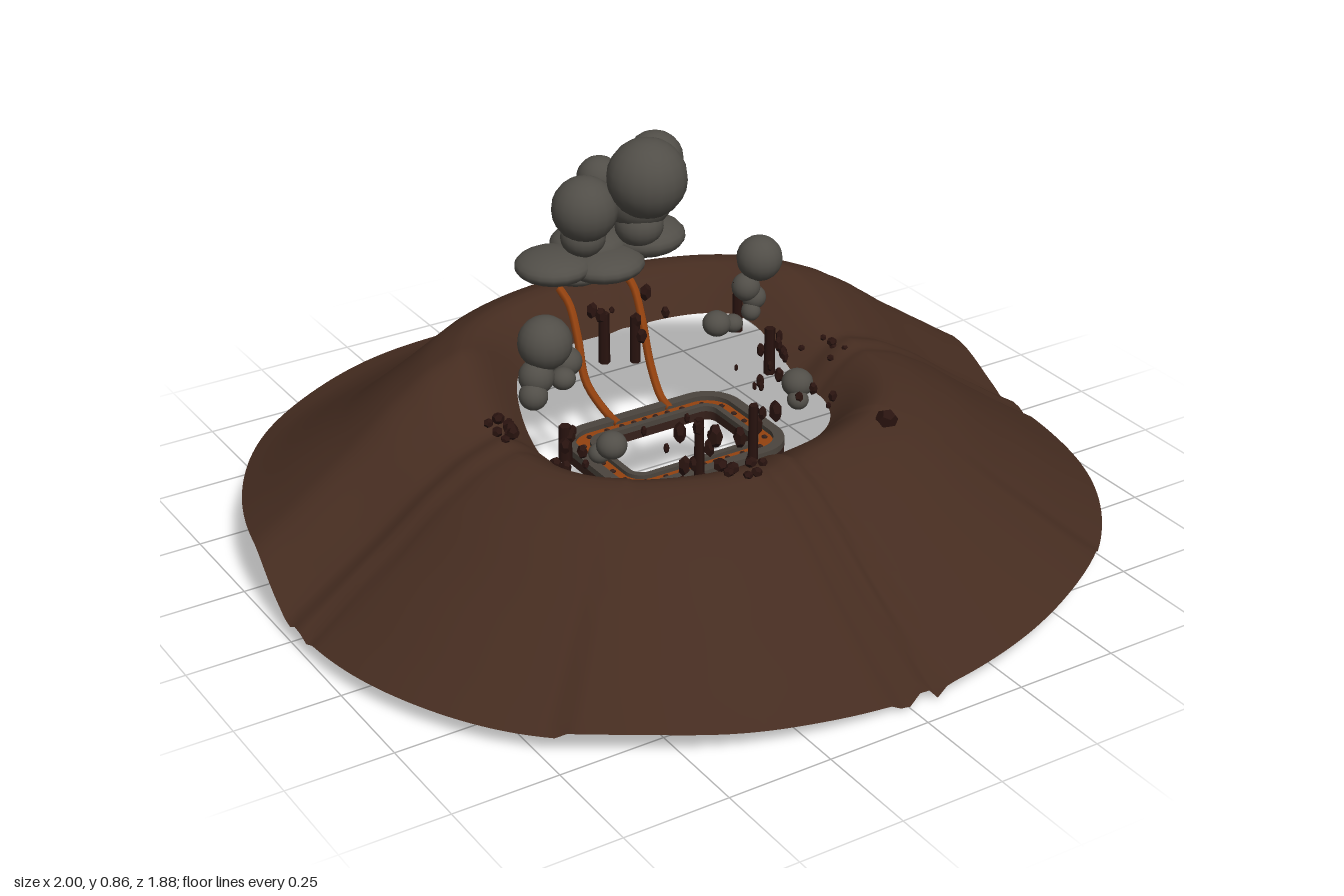
import * as THREE from 'three';

const mat = (name, color, side = THREE.FrontSide) => {
  const m = new THREE.MeshStandardMaterial({ color, side });
  m.name = name;
  return m;
};
const M = {
  earth: mat('brown earth', 0x452c20, THREE.DoubleSide),
  smoke: mat('grey smoke', 0x514e48),
  rim: mat('grey stone', 0x4b443d),
  lava: mat('orange lava', 0x94420f),
  crust: mat('dark crust', 0x35201a),
  rock: mat('dark rock', 0x29130f),
};

function add(parent, name, geo, material, pos = [0, 0, 0], scale = [1, 1, 1]) {
  const m = new THREE.Mesh(geo, material);
  m.name = name;
  m.position.set(...pos);
  m.scale.set(...scale);
  parent.add(m);
  return m;
}

let seed = 7;
const rnd = () => (seed = (seed * 16807) % 2147483647) / 2147483647;
const bump = (u, c, w) => Math.exp(-(((u - c) / w) ** 2));
const mix = THREE.MathUtils.lerp;
const smooth = THREE.MathUtils.smoothstep;

// Height fraction between outer edge (0) and crest (1), as [t, fraction]
const FRONT = [[0.2, 1], [0.33, 0.91], [0.48, 0.73], [0.64, 0.49], [0.8, 0.27], [0.9, 0.13], [1, 0]];
const BACK = [[0.2, 1], [0.3, 0.93], [0.46, 0.62], [0.62, 0.35], [0.8, 0.14], [0.9, 0.05], [1, 0]];
function sample(table, t) {
  for (let i = 1; i < table.length; i++) {
    const [a, fa] = table[i - 1], [b, fb] = table[i];
    if (t <= b) return mix(fa, fb, (t - a) / (b - a));
  }
  return 0;
}

// Point of a superellipse at an angle
function superPoint(a, rx, rz, n) {
  const c = Math.cos(a), s = Math.sin(a);
  const r = 1 / (Math.abs(c / rx) ** n + Math.abs(s / rz) ** n) ** (1 / n);
  return [c * r, s * r];
}

// Ground height; the back half is raised above the front
function groundHeight(x, z, t) {
  const s = smooth(-z, 0, 0.22);
  const front = z > Math.abs(x), back = -z > Math.abs(x);
  const backness = smooth(-z / Math.hypot(x, z), 0.35, 0.9);
  const edge = mix(0.057, 0.15, s) + (front ? 0.016 * bump(Math.abs(x), 0.62, 0.2) - 0.03 * bump(x, 0, 0.24) : 0);
  const crest = mix(0.375, 0.488, s) - (front ? 0.022 * bump(x, 0, 0.24) : 0);
  const inner = mix(0.29, 0.39, s);
  let y;
  if (t < 0.2) y = mix(inner, crest, Math.sin((t / 0.2) * Math.PI / 2));
  else y = mix(edge, crest, mix(sample(FRONT, t), sample(BACK, t), backness));
  // Gullies running outward along the four axes
  const u = front || back ? x : z;
  const strength = (front ? 0.8 : back ? 0.35 : 0.4) * (0.3 + 0.7 * t);
  y += strength * (0.018 * bump(u, 0.035, 0.018) - 0.026 * bump(u, -0.01, 0.022) - 0.028 * bump(u, 0.075, 0.016));
  return Math.max(0, y + 0.004 * Math.sin(9 * x + 2) * Math.sin(8 * z));
}

function terrainGeometry(segs = 240, rings = 26) {
  const pos = [], idx = [];
  for (let j = 0; j <= rings; j++) {
    const t = j / rings;
    for (let i = 0; i < segs; i++) {
      const a = (i / segs) * Math.PI * 2;
      const [ix, iz] = superPoint(a, 0.355, 0.288, 2.8);
      const [ox, oz] = superPoint(a, 1, 0.938, 2.2);
      const x = mix(ix, ox, t), z = mix(iz, oz, t);
      pos.push(x, groundHeight(x, z, t), z);
      if (j === rings) continue;
      const p = j * segs + i, q = j * segs + ((i + 1) % segs);
      idx.push(p, q, p + segs, q, q + segs, p + segs);
    }
  }
  const g = new THREE.BufferGeometry();
  g.setAttribute('position', new THREE.Float32BufferAttribute(pos, 3));
  g.setIndex(idx);
  g.computeVertexNormals();
  return g;
}

function roundedRect(shape, w, h, r) {
  shape.moveTo(-w + r, -h);
  shape.lineTo(w - r, -h).absarc(w - r, -h + r, r, -Math.PI / 2, 0);
  shape.lineTo(w, h - r).absarc(w - r, h - r, r, 0, Math.PI / 2);
  shape.lineTo(-w + r, h).absarc(-w + r, h - r, r, Math.PI / 2, Math.PI);
  shape.lineTo(-w, -h + r).absarc(-w + r, -h + r, r, Math.PI, Math.PI * 1.5);
  return shape;
}

// Flat rounded frame lying in the xz plane
function frame(outer, inner, depth) {
  const s = roundedRect(new THREE.Shape(), ...outer);
  s.holes.push(roundedRect(new THREE.Path(), ...inner));
  return new THREE.ExtrudeGeometry(s, { depth, bevelEnabled: false, curveSegments: 8 }).rotateX(-Math.PI / 2);
}

export function createModel() {
  const root = new THREE.Group();
  root.name = 'crater';
  add(root, 'craterSlope', terrainGeometry(), M.earth);

  // Ring channel hanging in the opening
  const channel = new THREE.Group();
  channel.name = 'lavaChannel';
  channel.position.y = 0.195;
  root.add(channel);
  add(channel, 'channelBase', frame([0.236, 0.173, 0.09], [0.165, 0.102, 0.03], 0.022), M.crust);
  add(channel, 'channelLava', frame([0.212, 0.149, 0.066], [0.178, 0.114, 0.042], 0.004), M.lava, [0, 0.022, 0]);
  add(channel, 'outerCurb', frame([0.236, 0.173, 0.09], [0.21, 0.147, 0.064], 0.016), M.rim, [0, 0.022, 0]);
  add(channel, 'innerCurb', frame([0.18, 0.117, 0.045], [0.165, 0.102, 0.03], 0.014), M.rim, [0, 0.022, 0]);

  // Lava streams spilling over the back wall and hugging it downward
  for (const x of [-0.085, 0.095]) {
    const path = new THREE.CatmullRomCurve3([
      [x, 0.487, -0.38], [x, 0.465, -0.335], [x - 0.005, 0.4, -0.29],
      [x - 0.01, 0.3, -0.245], [x * 0.85, 0.235, -0.19], [x * 0.8, 0.225, -0.14],
    ].map(p => new THREE.Vector3(...p)));
    add(root, 'lavaStream', new THREE.TubeGeometry(path, 20, 0.011, 6), M.lava);
  }

  // Smoke: [x, y, z, radius, vertical squash]
  const ball = new THREE.SphereGeometry(1, 18, 12);
  const clouds = {
    mainPlume: [
      [0.1, 0.77, -0.28, 0.097, 1], [-0.03, 0.695, -0.35, 0.08, 1], [0.19, 0.76, -0.39, 0.07, 1],
      [0.13, 0.68, -0.37, 0.085, 0.9], [0.04, 0.74, -0.4, 0.055, 1], [-0.03, 0.62, -0.36, 0.055, 0.9],
      [0.12, 0.62, -0.35, 0.06, 0.9], [-0.1, 0.555, -0.38, 0.095, 0.4], [0.02, 0.57, -0.42, 0.095, 0.45],
      [0.16, 0.57, -0.39, 0.1, 0.45], [0.02, 0.545, -0.35, 0.1, 0.38], [0.11, 0.56, -0.43, 0.085, 0.5],
      [0.18, 0.56, -0.44, 0.07, 0.5], [-0.04, 0.525, -0.38, 0.07, 0.4],
    ],
    leftBackPuff: [[0.355, 0.54, -0.18, 0.056, 1], [0.32, 0.47, -0.185, 0.035, 1], [0.34, 0.44, -0.18, 0.03, 1],
      [0.325, 0.41, -0.17, 0.024, 1]],
    rightBackPuff: [[-0.28, 0.51, -0.11, 0.064, 1], [-0.31, 0.435, -0.1, 0.042, 1], [-0.33, 0.4, -0.08, 0.034, 1]],
    smallPuffs: [[-0.17, 0.39, -0.21, 0.04, 0.9], [-0.2, 0.37, -0.17, 0.03, 0.9], [0.24, 0.39, -0.19, 0.035, 0.9],
      [0.28, 0.385, -0.18, 0.025, 0.9], [0.295, 0.33, 0.075, 0.038, 0.9], [0.28, 0.3, 0.1, 0.026, 0.9],
      [-0.225, 0.32, 0.09, 0.036, 0.9], [-0.24, 0.29, 0.06, 0.026, 0.9]],
  };
  for (const [name, puffs] of Object.entries(clouds)) {
    const g = new THREE.Group();
    g.name = name;
    root.add(g);
    for (const [x, y, z, r, k] of puffs) add(g, 'puff', ball, M.smoke, [x, y, z], [r, r * k, r]);
  }

  // Rock clusters: [x, y, z, spread, count, size, vertical spread, stretch]
  const stone = new THREE.DodecahedronGeometry(1);
  const rocks = new THREE.Group();
  rocks.name = 'rocks';
  root.add(rocks);
  const clusters = [
    [-0.46, 0.385, -0.01, 0.05, 9, 0.014, 0.03, 0.9], [-0.38, 0.41, -0.2, 0.04, 4, 0.013, 0.03, 0.9],
    [-0.08, 0.3, 0.21, 0.045, 10, 0.014, 0.16, 1.8], [0.09, 0.3, 0.215, 0.035, 8, 0.013, 0.16, 1.8],
    [-0.08, 0.36, 0.4, 0.05, 8, 0.014, 0.02, 0.9], [0.315, 0.365, 0.39, 0.008, 2, 0.022, 0.01, 0.9],
    [0.42, 0.365, 0.02, 0.06, 6, 0.014, 0.02, 0.9], [0.29, 0.33, -0.04, 0.06, 13, 0.008, 0.16, 2],
    [-0.3, 0.31, 0.05, 0.045, 7, 0.012, 0.08, 1.4], [0.3, 0.31, 0.14, 0.05, 5, 0.01, 0.06, 1.4],
    [0.03, 0.42, -0.25, 0.1, 9, 0.012, 0.1, 1.5],
  ];
  for (const [cx, cy, cz, d, n, size, h, k] of clusters) {
    for (let i = 0; i < n; i++) {
      const r = size * (0.6 + 0.7 * rnd());
      const p = [cx + (rnd() * 2 - 1) * d, cy + (rnd() - 0.5) * h, cz + (rnd() * 2 - 1) * d];
      add(rocks, 'rock', stone, M.rock, p, [r, r * k, r]).rotation.y = rnd() * 3;
    }
  }

  // Dark crust columns standing between the wall and the channel
  const column = new THREE.CylinderGeometry(0.9, 1, 1, 6);
  for (const [x, y, z, r, h] of [
    [-0.04, 0.4, -0.25, 0.014, 0.13], [0.04, 0.38, -0.24, 0.013, 0.12], [0.3, 0.42, -0.19, 0.013, 0.13],
    [0.3, 0.36, -0.05, 0.014, 0.12], [-0.3, 0.31, 0.01, 0.016, 0.09],
    [-0.06, 0.31, 0.2, 0.012, 0.16], [0.08, 0.31, 0.21, 0.012, 0.16],
  ]) add(root, 'crustColumn', column, M.rock, [x, y, z], [r, h, r]);

  // Chips of crust floating inside the channel and on its lava
  for (const x of [-0.06, 0.06]) for (const z of [-0.04, 0.06]) {
    add(root, 'floatingChip', stone, M.rock, [x, 0.25, z], [0.007, 0.014, 0.007]);
  }
  for (let i = 0; i < 28; i++) {
    const [x, z] = superPoint((i / 28) * Math.PI * 2, 0.196, 0.132, 6);
    add(channel, 'crustChip', stone, M.crust, [x, 0.027, z], [0.008, 0.005, 0.008]);
  }
  return root;
}
